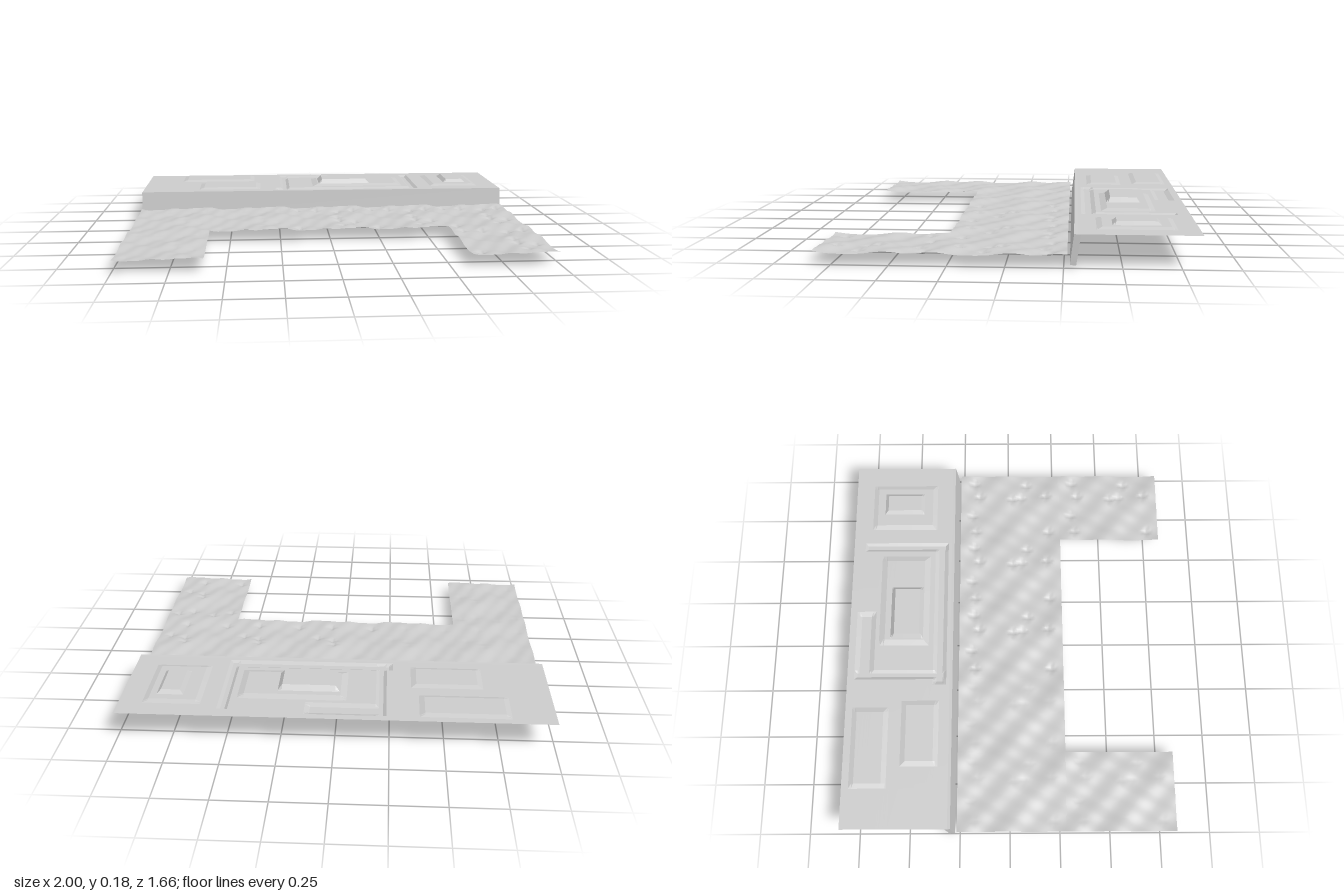
import * as THREE from 'three';

const sheetMat = (flatShading) => new THREE.MeshStandardMaterial({
  color: 0xcccccc, side: THREE.DoubleSide, flatShading,
});

// Open sheet over the grid lines xs and zs, with a height rule
function heightSheet(xs, zs, height, flat) {
  const pos = [], index = [], n = xs.length;
  for (const z of zs) for (const x of xs) pos.push(x, height(x, z), z);
  const y = (i) => pos[i * 3 + 1];
  for (let j = 0; j < zs.length - 1; j++) {
    for (let i = 0; i < n - 1; i++) {
      const a = j * n + i, b = a + 1, c = a + n, d = c + 1;
      // Split along the steeper diagonal so bevel corners are mitred
      if (Math.abs(y(a) - y(d)) >= Math.abs(y(b) - y(c))) index.push(a, c, d, a, d, b);
      else index.push(a, c, b, b, c, d);
    }
  }
  const geo = new THREE.BufferGeometry();
  geo.setAttribute('position', new THREE.Float32BufferAttribute(pos, 3));
  geo.setIndex(index);
  geo.computeVertexNormals();
  return new THREE.Mesh(geo, sheetMat(flat));
}

// Bevelled reliefs on the deck: x0, x1, z0, z1, height, bevel
const reliefs = [
  [-0.80, -0.385, -0.80, -0.615, 0.008, 0.025],
  [-0.69, -0.35, -0.55, -0.36, 0.008, 0.025],
  [-0.05, 0.46, -0.68, -0.42, 0.01, 0.03],
  [-0.015, 0.275, -0.62, -0.45, 0.023, 0.02],
  [0.62, 0.89, -0.74, -0.39, 0.008, 0.025],
  [0.71, 0.835, -0.675, -0.46, 0.016, 0.018],
];
const grooves = [
  [-0.235, 0.14, -0.80, -0.70, -0.01, 0.025],
  [-0.235, -0.185, -0.80, -0.325, -0.01, 0.015],
  [-0.265, 0.54, -0.395, -0.325, -0.01, 0.02],
  [0.49, 0.54, -0.775, -0.325, -0.01, 0.015],
];

function reliefHeight([x0, x1, z0, z1, h, b], x, z) {
  const inside = Math.min(x - x0, x1 - x, z - z0, z1 - z) / b;
  return h * THREE.MathUtils.clamp(inside, 0, 1);
}

function makeDeck() {
  const lines = (k, lo, hi) => {
    const all = [lo, hi];
    for (const r of [...reliefs, ...grooves]) all.push(r[k], r[k] + r[5], r[k + 1] - r[5], r[k + 1]);
    return [...new Set(all.map((v) => +v.toFixed(4)))].sort((a, b) => a - b);
  };
  const height = (x, z) => {
    let y = 0.147;
    for (const r of reliefs) y += reliefHeight(r, x, z);
    return y + Math.min(...grooves.map((g) => reliefHeight(g, x, z)));
  };
  return heightSheet(lines(0, -1, 1), lines(2, -0.835, -0.295), height, true);
}

// Slanted bar with a (z, y) profile running from x0 to x1
function makeBar(profile, x0, x1) {
  const shape = new THREE.Shape(profile.map(([z, y]) => new THREE.Vector2(z, y)));
  const geo = new THREE.ExtrudeGeometry(shape, { depth: x1 - x0, bevelEnabled: false });
  geo.rotateY(-Math.PI / 2).translate(x1, 0, 0);
  return new THREE.Mesh(geo, sheetMat(true));
}

// Pits in one ground tile, measured from its centre
const pits = [
  [-0.15, -0.19], [-0.05, -0.21], [0.07, -0.17], [0.15, -0.2], [0.05, 0.01],
  [0.06, 0.06], [0.14, 0.09], [-0.15, 0.21], [0.07, 0.2],
];
const TILE_W = 0.4, TILE_D = 0.55;

function groundHeight(x, z, pitDepth) {
  const u = (x / TILE_W) * Math.PI * 2, v = (z / TILE_D) * Math.PI * 2;
  let y = 0.055 + 0.004 * Math.sin(u + 1.3 * Math.sin(v)) + 0.004 * Math.cos(2 * v + Math.sin(u))
    + 0.003 * Math.sin(2 * u - 3 * v) + 0.0015 * Math.sin(4 * u + 3 * v);
  for (const [px, pz] of pits) {
    // Narrow arms give each pit a cross shape
    const dx = Math.abs(x - px), dz = Math.abs(z - pz);
    const reach = 1 - Math.max(dx, dz) / 0.035, arm = 1 - Math.min(dx, dz) / 0.014;
    if (reach > 0 && arm > 0) y -= pitDepth * reach * arm;
  }
  return y;
}

function makeTile(pitDepth) {
  const span = (size, n) => Array.from({ length: n + 1 }, (_, i) => (i / n - 0.5) * size);
  return heightSheet(span(TILE_W, 40), span(TILE_D, 55), (x, z) => groundHeight(x, z, pitDepth), false);
}

export function createModel() {
  const model = new THREE.Group();
  const add = (mesh, name) => {
    mesh.name = name;
    model.add(mesh);
    return mesh;
  };

  // Raised deck with panels and its slanted front wall
  add(makeDeck(), 'deck');
  add(makeBar([[-0.276, 0.015], [-0.293, 0.148], [-0.322, 0.146], [-0.303, 0.012]], -1, 1), 'frontWall');
  add(makeBar([[-0.286, 0], [-0.3, 0.136], [-0.328, 0.136], [-0.308, 0.002]], -0.26, 0.54), 'wallInset');

  // Ground tiles: a row of five and one more in front at each end
  const smooth = makeTile(0.003), pitted = makeTile(0.014);
  const places = [-0.8, -0.4, 0, 0.4, 0.8].map((x) => [x, 0.01]);
  places.push([-0.8, 0.555], [0.8, 0.555]);
  for (const [x, z] of places) {
    const tile = add((x < -0.2 ? smooth : pitted).clone(), 'groundTile');
    tile.position.set(x, 0, z);
  }
  return model;
}
